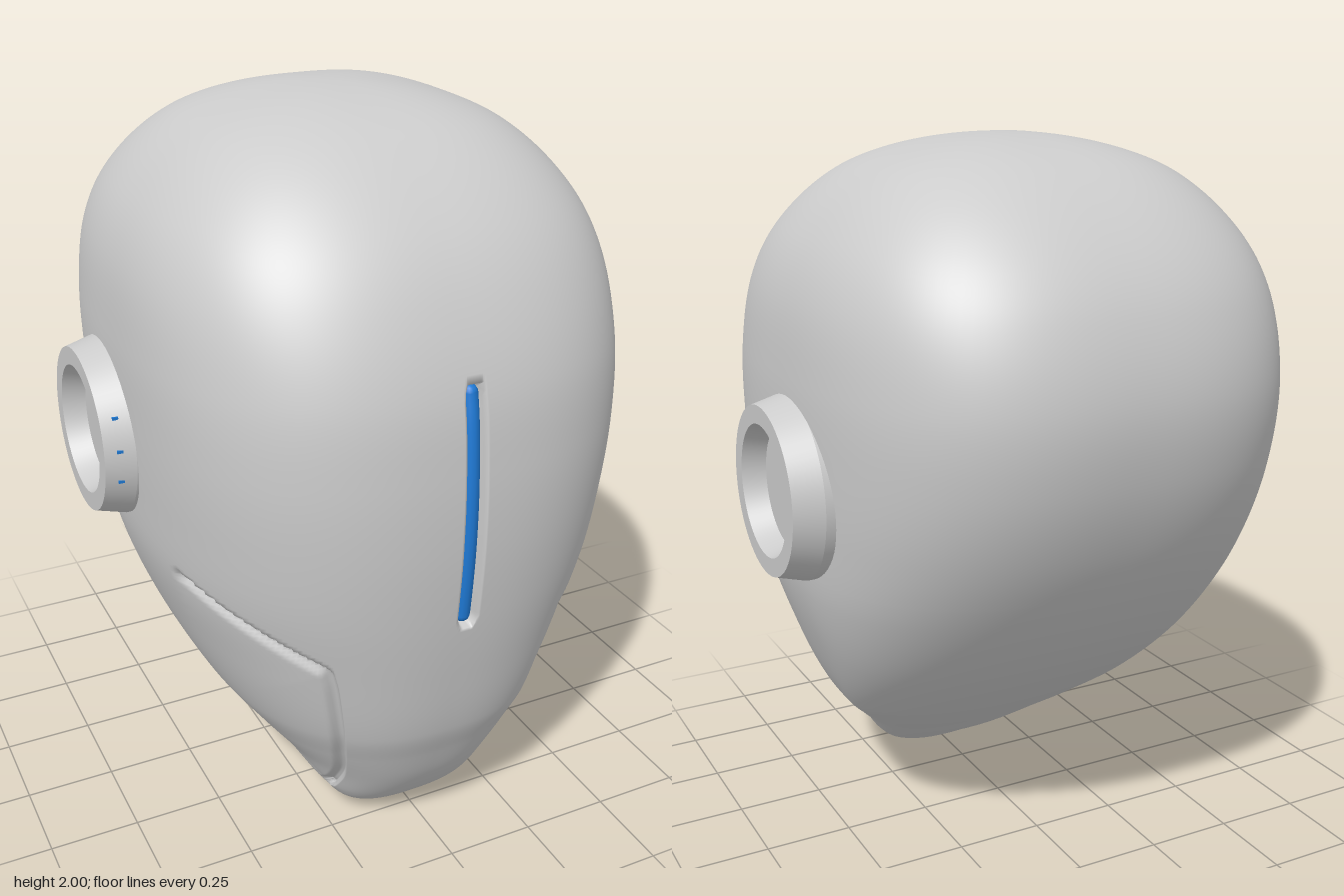
import * as THREE from 'three';

// Head sections: height, half width, front z, back z, z of widest point
const SECTIONS = [
  [0, 0, 0.43, 0.43, 0.43], [0.04, 0.175, 0.505, 0.34, 0.42], [0.1, 0.24, 0.56, 0.235, 0.385],
  [0.2, 0.31, 0.625, 0.085, 0.27], [0.3, 0.395, 0.67, -0.06, 0.16], [0.4, 0.475, 0.71, -0.19, 0.05],
  [0.6, 0.57, 0.75, -0.41, -0.03], [0.8, 0.632, 0.778, -0.575, -0.03], [1, 0.652, 0.793, -0.695, -0.02],
  [1.2, 0.66, 0.79, -0.766, 0], [1.4, 0.66, 0.765, -0.785, 0], [1.6, 0.636, 0.69, -0.735, -0.01],
  [1.75, 0.57, 0.59, -0.64, -0.02], [1.9, 0.42, 0.41, -0.46, -0.03], [1.96, 0.28, 0.27, -0.32, -0.03],
  [2, 0, -0.03, -0.03, -0.03],
];
const param = (y) => Math.acos(THREE.MathUtils.clamp(1 - y, -1, 1));
const KNOTS = SECTIONS.map((s) => param(s[0]));
const { smoothstep: smooth, clamp, lerp } = THREE.MathUtils;

// Smooth interpolation of the section table
function section(y) {
  const t = param(y), last = KNOTS.length - 1;
  let k = 0;
  while (k < last - 1 && t > KNOTS[k + 1]) k++;
  const h = KNOTS[k + 1] - KNOTS[k], u = (t - KNOTS[k]) / h;
  const slope = (i, c) => {
    const a = Math.max(0, i - 1), b = Math.min(last, i + 1);
    return (SECTIONS[b][c] - SECTIONS[a][c]) / (KNOTS[b] - KNOTS[a]);
  };
  const value = (c) => {
    const p = SECTIONS[k][c], q = SECTIONS[k + 1][c];
    return p + (q - p) * u * u * (3 - 2 * u)
      + h * slope(k, c) * u * (1 - u) ** 2 - h * slope(k + 1, c) * u * u * (1 - u);
  };
  return { w: value(1), front: value(2), back: value(3), mid: value(4), n: 2.5 + 0.3 * smooth(y, 0.6, 1.3) };
}

// Point and outward normal on a section at an angle measured from the front
function surface(s, angle) {
  const sx = Math.sin(angle), cz = Math.cos(angle), w = Math.max(s.w, 1e-4);
  const d = Math.max(cz > 0 ? s.front - s.mid : s.mid - s.back, 1e-4);
  const r = (Math.abs(sx / w) ** s.n + Math.abs(cz / d) ** s.n) ** (-1 / s.n);
  const nx = (Math.sign(sx) * Math.abs((r * sx) / w) ** (s.n - 1)) / w;
  const nz = (Math.sign(cz) * Math.abs((r * cz) / d) ** (s.n - 1)) / d;
  const len = Math.hypot(nx, nz);
  return { x: r * sx, z: s.mid + r * cz, nx: nx / len, nz: nz / len };
}

// Cheek seam: rough points dropped onto the surface
const SEAM = new THREE.CatmullRomCurve3([
  [0.617, 0.84, 0.3], [0.585, 0.815, 0.42], [0.5, 0.765, 0.55], [0.39, 0.695, 0.655], [0.342, 0.66, 0.685],
  [0.325, 0.615, 0.685], [0.3, 0.5, 0.665], [0.278, 0.4, 0.635], [0.256, 0.3, 0.595], [0.238, 0.2, 0.545],
  [0.226, 0.12, 0.475], [0.215, 0.08, 0.42],
].map(([x, y, z]) => {
  const s = section(y), p = surface(s, Math.atan2(x, z - s.mid));
  return new THREE.Vector3(p.x, y, p.z);
})).getSpacedPoints(300);

// Angle of the seam's lower run at a height, so mesh columns can follow it
const RUN = SEAM.filter((p) => p.y < 0.64).map((p) => [p.y, Math.atan2(p.x, p.z - section(p.y).mid)]);
function seamAngle(y) {
  const k = RUN.findIndex((p) => p[0] <= y);
  if (k < 0) return RUN[RUN.length - 1][1];
  if (k === 0) return RUN[0][1];
  const [a, b] = [RUN[k - 1], RUN[k]];
  return lerp(a[1], b[1], (a[0] - y) / (a[0] - b[0]));
}

// Depth of the seam groove; the cheek behind it returns almost level
function cheekDepth(x, y, z) {
  if (y > 1 || z < 0.1) return 0;
  let best = 1e9, i = 0;
  SEAM.forEach((p, k) => {
    const d = (p.x - x) ** 2 + (p.y - y) ** 2 + (p.z - z) ** 2;
    if (d < best) { best = d; i = k; }
  });
  const p = SEAM[i];
  const dir = SEAM[Math.min(300, i + 1)].clone().sub(SEAM[Math.max(0, i - 1)]).normalize();
  const along = dir.x * (x - p.x) + dir.y * (y - p.y) + dir.z * (z - p.z);
  const off = i > 0 && i < 300 ? Math.sqrt(Math.max(0, best - along * along)) : Math.sqrt(best);
  const s = dir.z * (y - p.y) - dir.y * (z - p.z) < 0 ? off : -off;
  const taper = Math.min(1, Math.min(i, 300 - i) / 8);
  const groove = 0.028 * smooth(s, -0.004, 0.008) * (1 - 0.75 * smooth(s, 0.018, 0.042));
  return taper * groove * Math.exp(-Math.max(0, s - 0.042) / 0.1);
}

// Depth of the upright slot in the face
function slotDepth(x, y, z) {
  if (z < 0.5) return 0;
  const d = Math.hypot(x, y - clamp(y, 0.785, 1.395));
  return 0.045 * (1 - smooth(d, 0.02, 0.028));
}

function headGeometry() {
  const rows = 220, lowRows = 145, cols = 300, pos = [], index = [];
  for (let j = 0; j <= rows; j++) {
    // Rows are closer below the ears, where the seam lies
    const q = j < lowRows ? (0.46 * j) / lowRows : 0.46 + (0.54 * (j - lowRows)) / (rows - lowRows);
    const y = 1 - Math.cos(Math.PI * q), s = section(y), seam = seamAngle(y);
    for (let i = 0; i < cols; i++) {
      // Columns gather around the slot and the seam
      const v = (2 * i) / cols - 1, a = Math.abs(v), u = a / 0.4;
      const angle = Math.sign(v) * (a < 0.4
        ? seam * (0.7 * u * u * (3 - 2 * u) + 0.3 * u)
        : seam + (Math.PI - seam) * ((a - 0.4) / 0.6) ** 1.5);
      const p = surface(s, angle);
      const depth = cheekDepth(Math.abs(p.x), y, p.z) + slotDepth(p.x, y, p.z);
      pos.push(p.x - depth * p.nx, y, p.z - depth * p.nz);
      if (j < rows) {
        const c = j * cols + i, d = j * cols + ((i + 1) % cols);
        index.push(c, d, d + cols, c, d + cols, c + cols);
      }
    }
  }
  const g = new THREE.BufferGeometry();
  g.setAttribute('position', new THREE.Float32BufferAttribute(pos, 3));
  g.setIndex(index);
  g.computeVertexNormals();
  return g;
}

export function createModel() {
  const model = new THREE.Group();
  const grey = new THREE.MeshStandardMaterial({ color: 0xcccccc });
  const blue = new THREE.MeshStandardMaterial({ color: 0x1f7ad6 });
  const add = (parent, name, geometry, material) => {
    const mesh = new THREE.Mesh(geometry, material);
    mesh.name = name;
    parent.add(mesh);
    return mesh;
  };

  add(model, 'headShell', headGeometry(), grey);

  // Glowing strip lying in the face slot, following the brow curve
  const strip = new THREE.Group();
  strip.name = 'faceLight';
  model.add(strip);
  const points = [];
  for (let k = 0; k <= 10; k++) {
    const y = 0.785 + k * 0.061;
    points.push(new THREE.Vector3(0, y, section(y).front - 0.034));
  }
  add(strip, 'lightStrip', new THREE.TubeGeometry(new THREE.CatmullRomCurve3(points), 40, 0.022, 12), blue);
  for (const p of [points[0], points[10]]) {
    add(strip, 'lightStripEnd', new THREE.SphereGeometry(0.022, 12, 8), blue).position.copy(p);
  }

  // Ear discs: tapered rim with a round recess
  const profile = [[0.25, 0.58], [0.25, 0.655], [0.228, 0.735], [0.178, 0.735], [0.16, 0.672], [0, 0.672]];
  for (const side of [1, -1]) {
    const ear = new THREE.Group();
    ear.name = side > 0 ? 'leftEar' : 'rightEar';
    ear.position.set(0, 1.105, -0.08);
    model.add(ear);
    // One lathe per band keeps the edges crisp
    for (let k = 0; k < profile.length - 1; k++) {
      const band = [profile[k], profile[k + 1]].map(([r, h]) => new THREE.Vector2(r, h));
      add(ear, 'earBand', new THREE.LatheGeometry(band, 64), grey).rotation.z = -side * Math.PI / 2;
    }
    // Tiny lamps on the front of the rim
    for (const dy of [0.11, 0.025, -0.065]) {
      const lamp = add(ear, 'earLamp', new THREE.BoxGeometry(0.016, 0.008, 0.01), blue);
      lamp.position.set(side * 0.695, dy, Math.sqrt(0.239 ** 2 - dy ** 2) - 0.002);
    }
  }
  return model;
}
